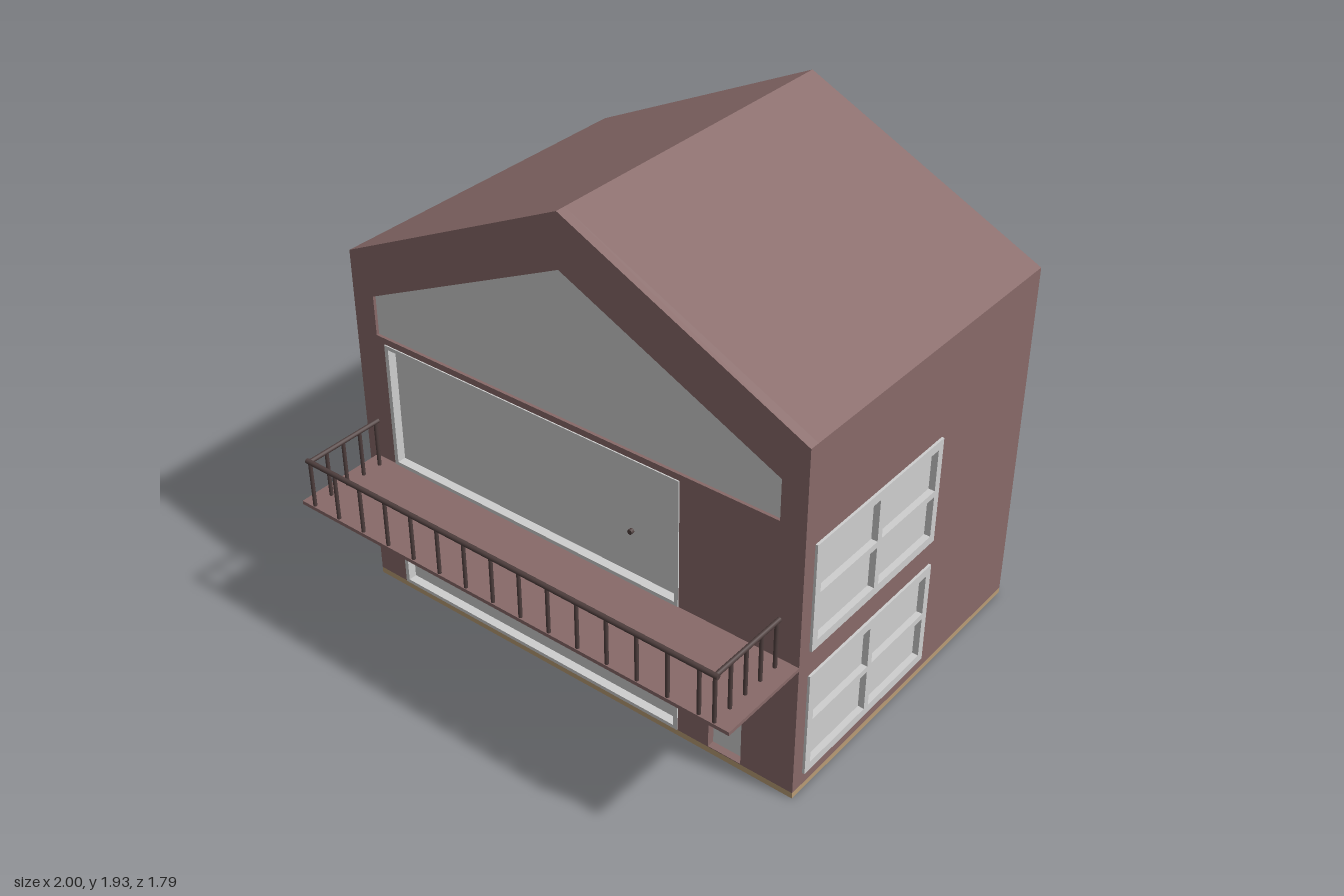
import * as THREE from 'three';

const mat = (name, color) => new THREE.MeshStandardMaterial({ name, color });

// counter-clockwise corners of an upright rectangle
const rect = (x0, x1, y0, y1) => [[x0, y0], [x1, y0], [x1, y1], [x0, y1]];
const points = (list) => list.map(([x, y]) => new THREE.Vector2(x, y));

export function createModel() {
  const house = new THREE.Group();
  house.name = 'house';
  const brown = mat('brownWall', 0x886a69);
  const grey = mat('paleGrey', 0xcecece);
  const tan = mat('tanBase', 0xb99c75);
  const dark = mat('darkRailing', 0x4f3f3e);

  const add = (parent, name, geometry, material, x = 0, y = 0, z = 0) => {
    const mesh = new THREE.Mesh(geometry, material);
    mesh.name = name;
    mesh.position.set(x, y, z);
    parent.add(mesh);
    return mesh;
  };
  const box = (parent, name, material, x0, x1, y0, y1, z0, z1) =>
    add(parent, name, new THREE.BoxGeometry(x1 - x0, y1 - y0, z1 - z0), material,
      (x0 + x1) / 2, (y0 + y1) / 2, (z0 + z1) / 2);
  // flat outline with holes, reaching from z0 to z1
  const slab = (parent, name, material, outline, holes, z0, z1) => {
    const shape = new THREE.Shape(points(outline));
    for (const h of holes) shape.holes.push(new THREE.Path(points(h)));
    const geometry = new THREE.ExtrudeGeometry(shape, { depth: z1 - z0, bevelEnabled: false });
    return add(parent, name, geometry, material, 0, 0, z0);
  };
  // group whose local z points out of a wall
  const wallGroup = (name, x, z, turn) => {
    const g = new THREE.Group();
    g.name = name;
    g.position.set(x, 0, z);
    g.rotation.y = turn;
    house.add(g);
    return g;
  };

  const W = 0.99, T = 0.04, BASE = 0.025, EAVE = 1.455, RIDGE = 1.93;
  const FRONT = 0.51, BACK = -0.9, SIDE_TOP = 1.2;

  // base plate and solid core with the roof; side walls fit into its notches
  box(house, 'basePlate', tan, -W, W, 0, BASE, BACK, FRONT);
  slab(house, 'coreAndRoof', brown, [
    [-W + T, BASE], [W - T, BASE], [W - T, SIDE_TOP], [W, SIDE_TOP], [W, EAVE],
    [0, RIDGE], [-W, EAVE], [-W, SIDE_TOP], [-W + T, SIDE_TOP],
  ], [], BACK, FRONT - T);

  // front wall with gable panel, two wide glazed doors and a small door
  const front = wallGroup('frontWall', 0, FRONT, 0);
  const gable = [[-0.89, 1.14], [0.89, 1.14], [0.89, 1.3], [0, 1.72], [-0.89, 1.3]];
  const smallDoor = [[0.63, 0.028], [0.77, 0.028], [0.77, 0.318], [0.763, 0.325], [0.637, 0.325], [0.63, 0.318]];
  const bigDoors = [
    { name: 'lowerGlazedDoor', y0: 0.028, y1: 0.572 },
    { name: 'upperGlazedDoor', y0: 0.592, y1: 1.115 },
  ];
  slab(front, 'frontFace', brown,
    [[-W, BASE], [W, BASE], [W, EAVE], [0, RIDGE], [-W, EAVE]],
    [gable, smallDoor, ...bigDoors.map((d) => rect(-0.85, 0.495, d.y0, d.y1))], -T, 0);
  slab(front, 'gablePanel', grey, gable, [], -T, -0.012);
  slab(front, 'smallDoor', grey, smallDoor, [], -T, -0.03);
  box(front, 'smallDoorHandle', dark, 0.645, 0.672, 0.158, 0.166, -0.03, -0.02);
  for (const { name, y0, y1 } of bigDoors) {
    slab(front, name + 'Frame', grey, rect(-0.85, 0.495, y0, y1),
      [rect(-0.833, 0.478, y0 + 0.015, y1 - 0.015)], -T, 0.005);
    box(front, name + 'Pane', grey, -0.84, 0.485, y0 + 0.01, y1 - 0.01, -T, -0.03);
  }
  box(front, 'upperDoorTrim', tan, -0.833, 0.478, 1.088, 1.1, -0.03, -0.024);
  const knob = add(front, 'upperDoorKnob', new THREE.CylinderGeometry(0.01, 0.01, 0.015, 12), dark, 0.27, 0.79, -0.023);
  knob.rotation.x = Math.PI / 2;

  // side walls, each with two four-pane windows
  const sideWall = (name, sign, u0, u1, rows) => {
    const g = wallGroup(name, sign * W, 0, sign * Math.PI / 2);
    const ends = [-sign * BACK, -sign * (FRONT - T)].sort((a, b) => a - b);
    slab(g, name + 'Face', brown, rect(ends[0], ends[1], BASE, SIDE_TOP),
      rows.map(([y0, y1]) => rect(u0, u1, y0, y1)), -T, 0);
    const B = 0.03, M = 0.013;
    for (const [y0, y1] of rows) {
      const um = (u0 + u1) / 2, ym = (y0 + y1) / 2;
      const panes = [];
      for (const [a, b] of [[u0 + B, um - M], [um + M, u1 - B]])
        for (const [c, d] of [[y0 + B + 0.005, ym - M], [ym + M, y1 - B - 0.005]])
          panes.push(rect(a, b, c, d));
      slab(g, 'windowFrame', grey, rect(u0, u1, y0, y1), panes, -T, 0.01);
      box(g, 'windowPane', grey, u0 + 0.01, u1 - 0.01, y0 + 0.01, y1 - 0.01, -T, -0.015);
    }
  };
  sideWall('leftWall', 1, -0.455, 0.3, [[0.078, 0.517], [0.625, 1.063]]);
  sideWall('rightWall', -1, -0.54, 0.135, [[0.1, 0.505], [0.645, 1.045]]);

  // balcony floor and railing
  const balcony = new THREE.Group();
  balcony.name = 'balcony';
  house.add(balcony);
  box(balcony, 'balconyFloor', brown, -0.95, W, 0.575, 0.59, FRONT, 0.89);
  const railX = [-0.895, 0.925], railZ = 0.88, railY = 0.782;
  const bar = (name, length, r, x, y, z) =>
    add(balcony, name, new THREE.CylinderGeometry(r, r, length, 12), dark, x, y, z);
  bar('frontHandrail', 1.845, 0.01, 0.015, railY, railZ).rotation.z = Math.PI / 2;
  const post = (x, z) => bar('railPost', 0.192, 0.0075, x, 0.686, z);
  for (let i = 0; i < 15; i++) post(-0.893 + i * 0.1255, railZ);
  post(0.925, railZ);
  for (const x of railX) {
    bar('sideHandrail', 0.345, 0.009, x, railY, 0.7125).rotation.x = Math.PI / 2;
    for (let i = 1; i < 5; i++) post(x, railZ - i * 0.0815);
  }
  return house;
}
